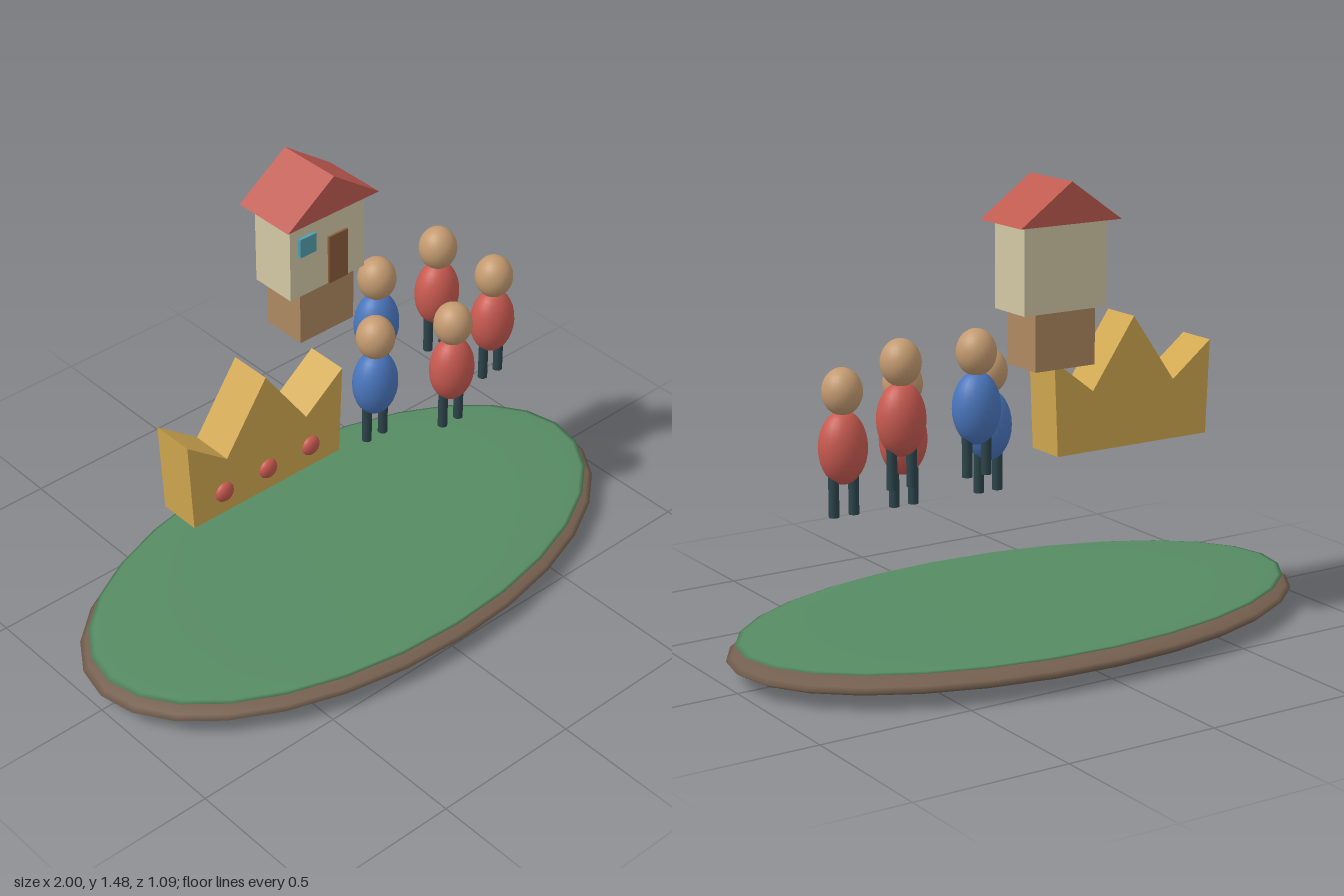
import * as THREE from 'three';

const mat = (color) => new THREE.MeshStandardMaterial({ color });
const green = mat(0x568b63), soil = mat(0x75604f), gold = mat(0xd0a850), red = mat(0xc85a50),
  blue = mat(0x4a76bd), skin = mat(0xc39a70), dark = mat(0x2c444a), cream = mat(0xd3c8a5),
  tan = mat(0xae8961), roofRed = mat(0xbf5a50), wood = mat(0x8a5c3a), glass = mat(0x529dac);

export function createModel() {
  const model = new THREE.Group();

  function add(parent, name, geometry, material, x, y, z) {
    const mesh = new THREE.Mesh(geometry, material);
    mesh.name = name;
    mesh.position.set(x, y, z);
    parent.add(mesh);
    return mesh;
  }
  const box = (parent, name, material, w, h, d, x, y, z) =>
    add(parent, name, new THREE.BoxGeometry(w, h, d), material, x, y, z);
  const ellipsoid = (parent, name, material, rx, ry, rz, x, y, z, seg = 24) =>
    add(parent, name, new THREE.SphereGeometry(1, seg, 16).scale(rx, ry, rz), material, x, y, z);
  // outline in x and y, extruded evenly about its own z = 0
  function slab(parent, name, material, points, depth, x, y, z) {
    const shape = new THREE.Shape(points.map(([px, py]) => new THREE.Vector2(px, py)));
    const geometry = new THREE.ExtrudeGeometry(shape, { depth, bevelEnabled: false });
    return add(parent, name, geometry.translate(0, 0, -depth / 2), material, x, y, z);
  }
  function group(name) {
    const g = new THREE.Group();
    g.name = name;
    model.add(g);
    return g;
  }

  // Floating island: flattened soil lens with a thin grass lens on top
  const island = group('island');
  ellipsoid(island, 'soil', soil, 1, 0.06, 0.545, 0, 0.06, 0, 28);
  ellipsoid(island, 'grass', green, 0.97, 0.018, 0.522, 0, 0.105, 0, 28);

  // Crown with three gems
  const crown = group('crown');
  slab(crown, 'crownBody', gold, [
    [-0.287, 0], [0.287, 0], [0.3, 0.305], [0.155, 0.193],
    [0, 0.415], [-0.155, 0.193], [-0.3, 0.305],
  ], 0.14, -0.38, 0.58, 0);
  for (const dx of [-0.17, 0, 0.17])
    ellipsoid(crown, 'gem', red, 0.033, 0.033, 0.02, -0.38 + dx, 0.658, 0.071);

  // House on its plinth
  const house = group('house');
  box(house, 'plinth', tan, 0.215, 0.175, 0.155, 0, 0.993, -0.167);
  box(house, 'walls', cream, 0.295, 0.27, 0.16, 0, 1.215, -0.166);
  slab(house, 'roof', roofRed, [[-0.18, 0], [0.18, 0], [0, 0.127]], 0.222, 0, 1.348, -0.166);
  box(house, 'door', wood, 0.074, 0.166, 0.016, 0.038, 1.166, -0.086);
  box(house, 'window', glass, 0.062, 0.064, 0.016, -0.085, 1.259, -0.082);

  // Group of people: x, foot height, z, clothing
  const people = [
    [0.12, 0.488, 0, blue], [0.245, 0.585, -0.133, blue], [0.375, 0.463, 0.08, red],
    [0.507, 0.585, -0.133, red], [0.63, 0.488, 0, red],
  ];
  for (const [x, y, z, cloth] of people) {
    const person = group('person');
    person.position.set(x, y, z);
    for (const side of [-1, 1])
      add(person, 'leg', new THREE.CylinderGeometry(0.016, 0.016, 0.15, 12), dark, side * 0.034, 0.075, 0);
    ellipsoid(person, 'body', cloth, 0.077, 0.113, 0.067, 0, 0.21, 0);
    ellipsoid(person, 'head', skin, 0.062, 0.072, 0.062, 0, 0.381, 0);
  }

  return model;
}
